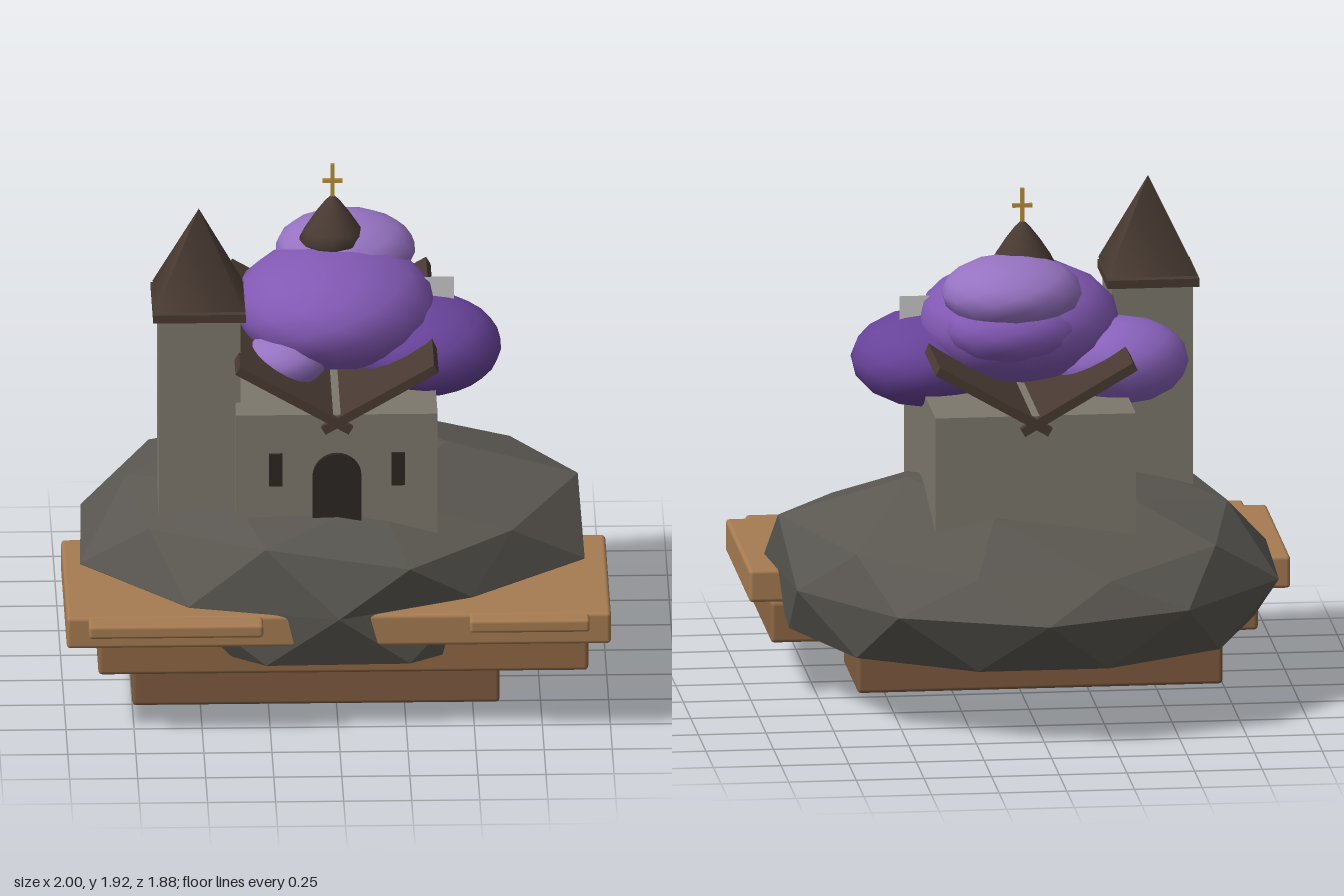
import * as THREE from 'three';
import { RoundedBoxGeometry } from 'three/addons/geometries/RoundedBoxGeometry.js';

const mat = (color, extra = {}) => new THREE.MeshStandardMaterial({ color, ...extra });
const wall = mat(0x7d786d);
const rockMat = mat(0x5b5852, { flatShading: true });
const roofMat = mat(0x483a32);
const dark = mat(0x2c2622);
const gold = mat(0xb8923a);

function add(parent, name, geometry, material, x = 0, y = 0, z = 0) {
  const mesh = new THREE.Mesh(geometry, material);
  mesh.name = name;
  mesh.position.set(x, y, z);
  parent.add(mesh);
  return mesh;
}

// Box given by its limits on each axis, with optional rounded edges
function block(parent, name, [x0, x1], [y0, y1], [z0, z1], material, round = 0) {
  const size = [x1 - x0, y1 - y0, z1 - z0];
  const geo = round ? new RoundedBoxGeometry(...size, 2, round) : new THREE.BoxGeometry(...size);
  return add(parent, name, geo, material, (x0 + x1) / 2, (y0 + y1) / 2, (z0 + z1) / 2);
}

// Faceted boulder: pole, ring of 5, ring of 10, then the equator of 10, mirrored below
function rockGeometry() {
  const pos = [];
  const at = (deg, r, y) => {
    const a = deg * Math.PI / 180;
    return [r * Math.cos(a), y, r * Math.sin(a)];
  };
  const equator = [0.965, 0.84, 0.9, 0.935, 0.985, 0.965, 0.912, 0.94, 0.912, 0.905]
    .map((r, k) => at(18 + 36 * k, r, 0.48));
  const upper = [[0.9, 0.7], [0.8, 0.66], [0.85, 0.64], [0.87, 0.73], [0.85, 0.69],
    [0.76, 0.71], [0.82, 0.66], [0.79, 0.6], [0.79, 0.62], [0.82, 0.66]]
    .map(([r, y], k) => at(36 * k, r, y));
  const upperInner = [[0.42, 0.83], [0.5, 0.79], [0.5, 0.8], [0.5, 0.78], [0.5, 0.78]]
    .map(([r, y], i) => at(72 * i, r, y));
  const lower = [0.86, 0.85, 0.85, 0.86, 0.84, 0.86, 0.84, 0.78, 0.78, 0.82]
    .map((r, k) => at(36 * k, r, 0.27));
  const lowerInner = [0, 1, 2, 3, 4].map((i) => at(36 + 72 * i, 0.5, 0.255));

  const cap = (pole, inner, mid, shift, flip) => {
    const tri = (a, b, c) => pos.push(...a, ...(flip ? c : b), ...(flip ? b : c));
    const M = (k) => mid[(k + 10) % 10];
    for (let i = 0; i < 5; i++) {
      const I = inner[i], J = inner[(i + 1) % 5], m = 2 * i + shift;
      tri(pole, J, I);
      tri(I, M(m), M(m - 1));
      tri(I, M(m + 1), M(m));
      tri(I, J, M(m + 1));
    }
    for (let k = 0; k < 10; k++) {
      tri(M(k), M(k + 1), equator[k]);
      tri(M(k + 1), equator[(k + 1) % 10], equator[k]);
    }
  };
  cap([0, 0.83, 0], upperInner, upper, 0, false);
  cap([0, 0.25, 0], lowerInner, lower, 1, true);

  const geo = new THREE.BufferGeometry();
  geo.setAttribute('position', new THREE.Float32BufferAttribute(pos, 3));
  geo.computeVertexNormals();
  return geo;
}

function makeBase() {
  const g = new THREE.Group();
  g.name = 'woodenBase';
  const top = mat(0xa67c52);
  block(g, 'bottomStep', [-0.75, 0.6], [0, 0.2], [0.05, 0.52], mat(0x7f5b40), 0.015);
  block(g, 'middleStep', [-0.88, 0.92], [0.2, 0.355], [0.05, 0.72], mat(0x8f6844), 0.015);
  block(g, 'topStep', [-1, 1], [0.355, 0.478], [0.05, 0.85], top, 0.015);
  block(g, 'leftLedge', [0.48, 0.92], [0.425, 0.475], [0.78, 0.91], top, 0.012);
  block(g, 'rightLedge', [-0.92, -0.28], [0.425, 0.475], [0.78, 0.935], top, 0.012);
  return g;
}

function makeChapel() {
  const g = new THREE.Group();
  g.name = 'chapel';
  block(g, 'chapelWalls', [-0.37, 0.37], [0.6, 1.165], [-0.47, 0.58], wall);

  // Arched door
  const arch = new THREE.Shape();
  arch.moveTo(-0.09, 0.72);
  arch.lineTo(0.09, 0.72);
  arch.lineTo(0.09, 0.925);
  arch.absarc(0, 0.925, 0.09, 0, Math.PI, false);
  arch.closePath();
  add(g, 'door', new THREE.ExtrudeGeometry(arch, { depth: 0.04, bevelEnabled: false, curveSegments: 8 }),
    dark, 0, 0, 0.56);

  // Windows and the two tilted roof slabs that cross in a valley
  for (const s of [-1, 1]) {
    block(g, 'window', [s * 0.225 - 0.025, s * 0.225 + 0.025], [0.89, 1.015], [0.56, 0.595], dark);
    const slab = add(g, 'roofSlab', new THREE.BoxGeometry(0.48, 0.034, 1.1), roofMat, s * 0.157, 1.228, 0.05);
    slab.rotation.z = s * Math.PI / 6;
  }
  return g;
}

function makeTower() {
  const g = new THREE.Group();
  g.name = 'tower';
  block(g, 'towerWalls', [-0.65, -0.35], [0.6, 1.49], [0.15, 0.45], wall);
  block(g, 'towerCornice', [-0.672, -0.332], [1.487, 1.518], [0.128, 0.468], roofMat);
  const spire = new THREE.ConeGeometry(0.165 * Math.SQRT2, 0.345, 4);
  spire.rotateY(Math.PI / 4);
  add(g, 'towerSpire', spire, roofMat, -0.5, 1.7, 0.298);
  return g;
}

// Canopy of overlapping, squashed low-poly balls
function makeFoliage() {
  const g = new THREE.Group();
  g.name = 'foliage';
  const clumps = [
    [[0.005, 1.4, 0.06], [0.375, 0.22, 0.385], 0x8259b4],
    [[0.05, 1.55, -0.12], [0.26, 0.135, 0.24], 0x9673c2],
    [[0.04, 1.42, -0.14], [0.26, 0.14, 0.21], 0x8259b4],
    [[0.335, 1.255, 0.105], [0.285, 0.178, 0.285], 0x68439a],
    [[-0.36, 1.27, -0.07], [0.25, 0.16, 0.22], 0x8a63bd],
    [[-0.18, 1.275, 0.29], [0.155, 0.1, 0.15], 0x9673c2],
  ];
  for (const [p, r, color] of clumps) {
    add(g, 'leafClump', new THREE.IcosahedronGeometry(1, 2).scale(...r), mat(color), ...p);
  }
  return g;
}

function makeCupola() {
  const g = new THREE.Group();
  g.name = 'cupola';
  const profile = [[0.1, 1.6], [0.125, 1.625], [0.105, 1.665], [0.065, 1.725], [0.03, 1.77], [0, 1.8]];
  const dome = new THREE.LatheGeometry(profile.map(([x, y]) => new THREE.Vector2(x, y)), 12);
  add(g, 'cupolaRoof', dome, mat(0x483a32, { side: THREE.DoubleSide }), 0, 0, -0.025);
  block(g, 'crossPost', [-0.007, 0.007], [1.78, 1.918], [-0.032, -0.018], gold);
  block(g, 'crossArm', [-0.037, 0.037], [1.845, 1.859], [-0.032, -0.018], gold);
  return g;
}

export function createModel() {
  const model = new THREE.Group();
  model.name = 'rockChapel';
  model.add(makeBase(), makeChapel(), makeTower(), makeFoliage(), makeCupola());
  add(model, 'rock', rockGeometry(), rockMat);
  // Small flat pennant beside the canopy
  add(model, 'pennant', new THREE.PlaneGeometry(0.11, 0.09),
    mat(0xcccccc, { side: THREE.DoubleSide }), 0.39, 1.455, 0.055);
  return model;
}
